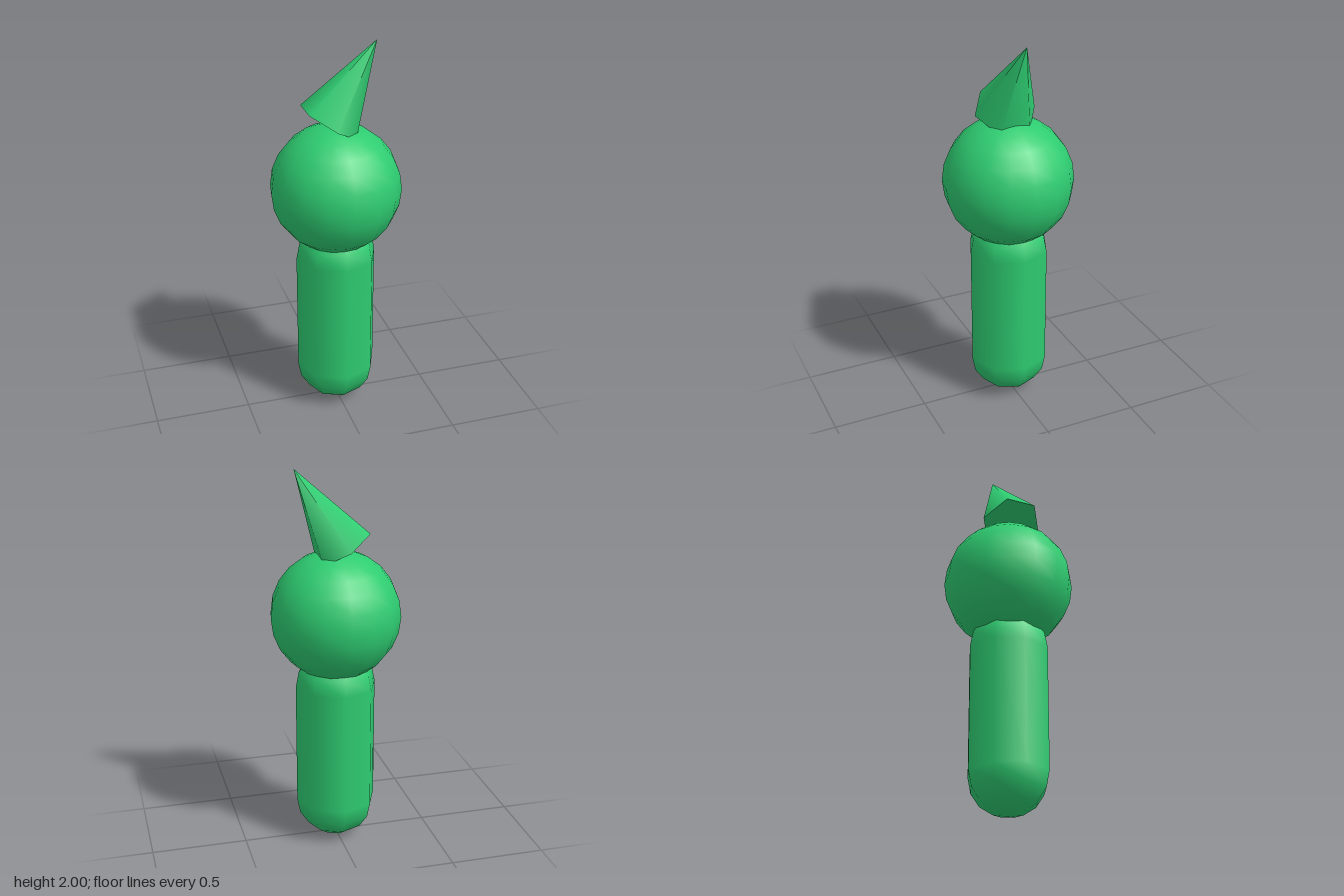
import * as THREE from 'three';

export function createModel() {
  const model = new THREE.Group();
  const green = new THREE.MeshStandardMaterial({ color: 0x2ecc71 });

  function addPart(name, geometry, x, y) {
    const mesh = new THREE.Mesh(geometry, green);
    mesh.name = name;
    mesh.position.set(x, y, 0);
    model.add(mesh);
    return mesh;
  }

  // Upright body with rounded ends, standing on the ground
  const bodyRadius = 0.213, bodyLength = 0.65;
  addPart('body', new THREE.CapsuleGeometry(bodyRadius, bodyLength, 4, 8), 0, bodyRadius + bodyLength / 2);

  // Round head overlapping the top of the body
  addPart('head', new THREE.SphereGeometry(0.337, 16, 12), 0, 1.245);

  // Six-sided pointed hat, leaning to the model's left
  const hat = addPart('hat', new THREE.ConeGeometry(0.163, 0.47, 6), 0.086, 1.8);
  hat.rotation.z = -0.555;

  return model;
}
